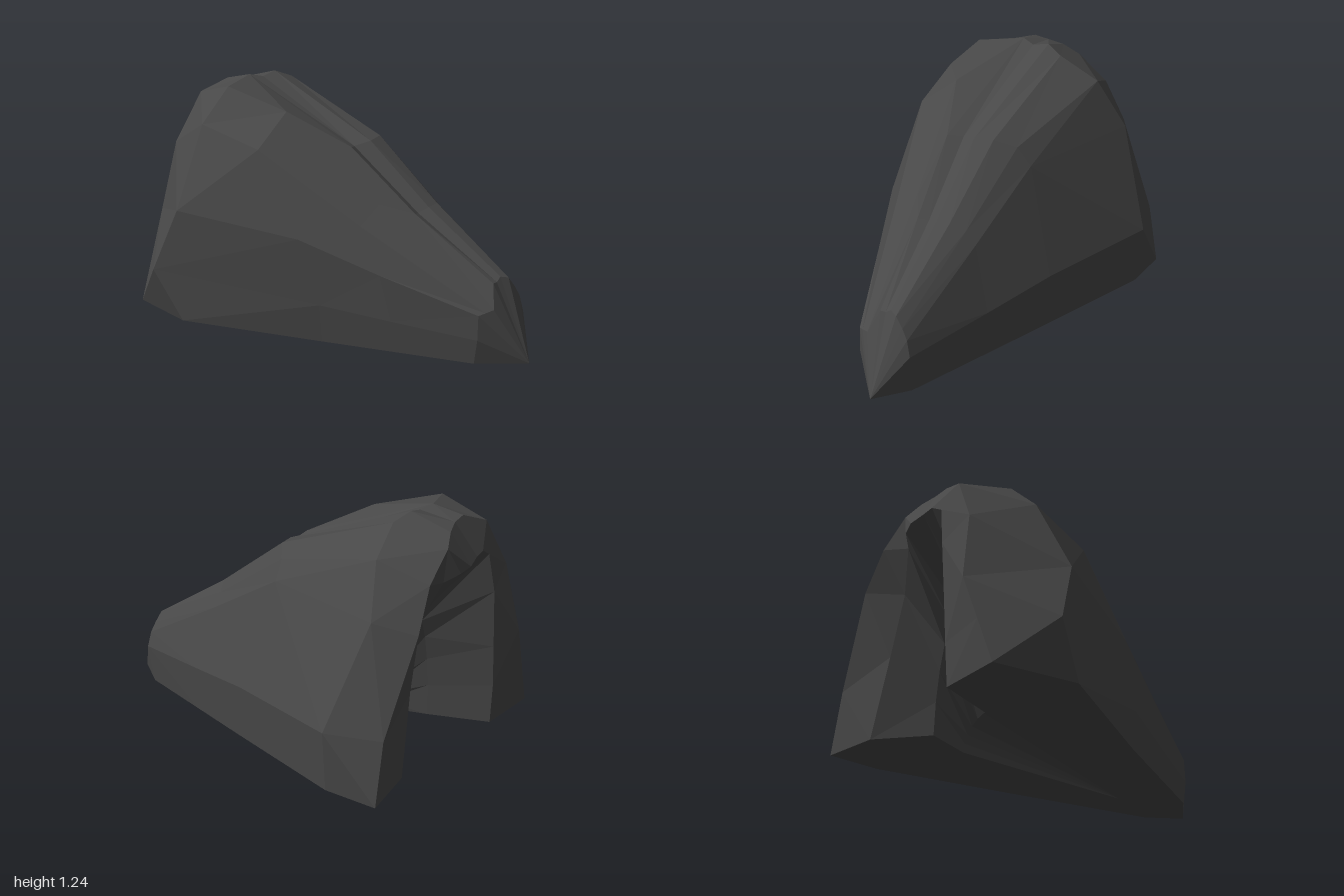
import * as THREE from 'three';

// Each ring is an arch of 13 points running from the +z foot over the top to the -z foot.
const tip = [1, 0, -0.06];
const nose = [
  [0.8, 0, 0.11], [0.82, 0.12, 0.115], [0.82, 0.24, 0.11], [0.84, 0.25, 0.08], [0.86, 0.26, 0.04],
  [0.82, 0.37, -0.01], [0.82, 0.37, -0.04], [0.82, 0.39, -0.07], [0.84, 0.38, -0.11],
  [0.85, 0.33, -0.15], [0.86, 0.28, -0.18], [0.87, 0.2, -0.2], [0.84, 0, -0.19],
];
const middle = [
  [0.1, 0.03, 0.39], [0.1, 0.22, 0.41], [0, 0.54, 0.45], [-0.27, 0.94, 0.43], [-0.27, 1.1, 0.22],
  [0.04, 0.94, 0.09], [0, 0.93, 0.02], [0.04, 0.95, -0.06], [0.02, 0.96, -0.16],
  [-0.04, 0.92, -0.26], [-0.05, 0.83, -0.33], [0.05, 0.31, -0.5], [0.1, 0.02, -0.46],
];
const crest = [
  [-0.57, 0.07, 0.68], [-0.72, 0.32, 0.73], [-0.6, 0.63, 0.67], [-0.62, 1.03, 0.46], [-0.61, 1.2, 0.28],
  [-0.68, 1.23, 0.05], [-0.65, 1.215, -0.02], [-0.65, 1.235, -0.11], [-0.61, 1.2, -0.2],
  [-0.64, 1.09, -0.4], [-0.7, 0.85, -0.54], [-0.57, 0.35, -0.73], [-0.57, 0.04, -0.7],
];
const rear = [
  [-0.98, 0.07, 0.58], [-0.99, 0.3, 0.49], [-1, 0.53, 0.4], [-0.93, 0.89, 0.35], [-0.88, 1.14, 0.21],
  [-0.83, 1.2, 0.06], [-0.83, 1.19, -0.02], [-0.85, 1.17, -0.1], [-0.88, 1.12, -0.18],
  [-0.88, 1.0, -0.34], [-0.89, 0.8, -0.45], [-0.84, 0.35, -0.65], [-0.84, 0.04, -0.71],
];
const rim = [
  [-0.94, 0.07, 0.25], [-0.95, 0.28, 0.24], [-0.95, 0.5, 0.22], [-0.95, 0.8, 0.19], [-0.93, 1.0, 0.15],
  [-0.93, 1.04, 0.08], [-0.93, 1.03, 0.02], [-0.94, 1.01, -0.06], [-0.92, 0.99, -0.12],
  [-0.86, 0.95, -0.17], [-0.78, 0.77, -0.28], [-0.8, 0.45, -0.34], [-0.82, 0.05, -0.43],
];
const last = rim.length - 1;

// Ring between middle and nose, sagging slightly along the top
const fore = middle.map((m, j) => {
  const [x, y, z] = m.map((v, k) => v + (nose[j][k] - v) * 0.46);
  return [x, y - 0.03 * Math.sin((Math.PI * j) / last) ** 2, z];
});

// Half-round arch of the hollow at a given x
const arch = (x, top, base, z0, z1) => rim.map((_, j) => {
  const a = (Math.PI * j) / last;
  return [x, base + (top - base) * Math.sin(a), (z0 + z1) / 2 + ((z0 - z1) / 2) * Math.cos(a)];
});
const deep = arch(-0.63, 0.7, 0.06, 0.17, -0.2);
const groove = arch(-0.4, 0.22, 0.05, 0.13, -0.25);
const hollowEnd = [0.56, 0.02, -0.12];
const pointRing = (p) => rim.map(() => p);

const distance = (p, q) => Math.hypot(p[0] - q[0], p[1] - q[1], p[2] - q[2]);

// Faceted skin between successive rings, splitting each quad along its shorter diagonal
function loft(name, rings, material) {
  const triangles = [];
  for (let i = 0; i < rings.length - 1; i++) {
    for (let j = 0; j < rings[i].length - 1; j++) {
      const a = rings[i][j], b = rings[i][j + 1], c = rings[i + 1][j + 1], d = rings[i + 1][j];
      if (distance(a, c) < distance(b, d)) triangles.push([a, b, c], [a, c, d]);
      else triangles.push([a, b, d], [b, c, d]);
    }
  }
  // Leave out triangles that collapse at a point
  const kept = triangles.filter(([a, b, c]) => a !== b && b !== c && c !== a);
  const geometry = new THREE.BufferGeometry();
  geometry.setAttribute('position', new THREE.Float32BufferAttribute(kept.flat(2), 3));
  geometry.computeVertexNormals();
  const mesh = new THREE.Mesh(geometry, material);
  mesh.name = name;
  return mesh;
}

// Pairs of outer and inner points along the underside of one foot
const solePairs = (j) => [
  [rear[j], rim[j]], [crest[j], deep[j]], [middle[j], groove[j]], [nose[j], hollowEnd], [tip, tip],
];

export function createModel() {
  const charcoal = new THREE.MeshStandardMaterial({ color: 0x484848, flatShading: true });
  charcoal.name = 'charcoal';

  const model = new THREE.Group();
  model.name = 'drapedHood';
  model.add(
    loft('outerShell', [pointRing(tip), nose, fore, middle, crest, rear], charcoal),
    loft('rearRim', [rear, rim], charcoal),
    loft('innerHollow', [rim, deep, groove, pointRing(hollowEnd)], charcoal),
    loft('leftSole', solePairs(0), charcoal),
    loft('rightSole', solePairs(last).map(([outer, inner]) => [inner, outer]), charcoal),
  );
  return model;
}
